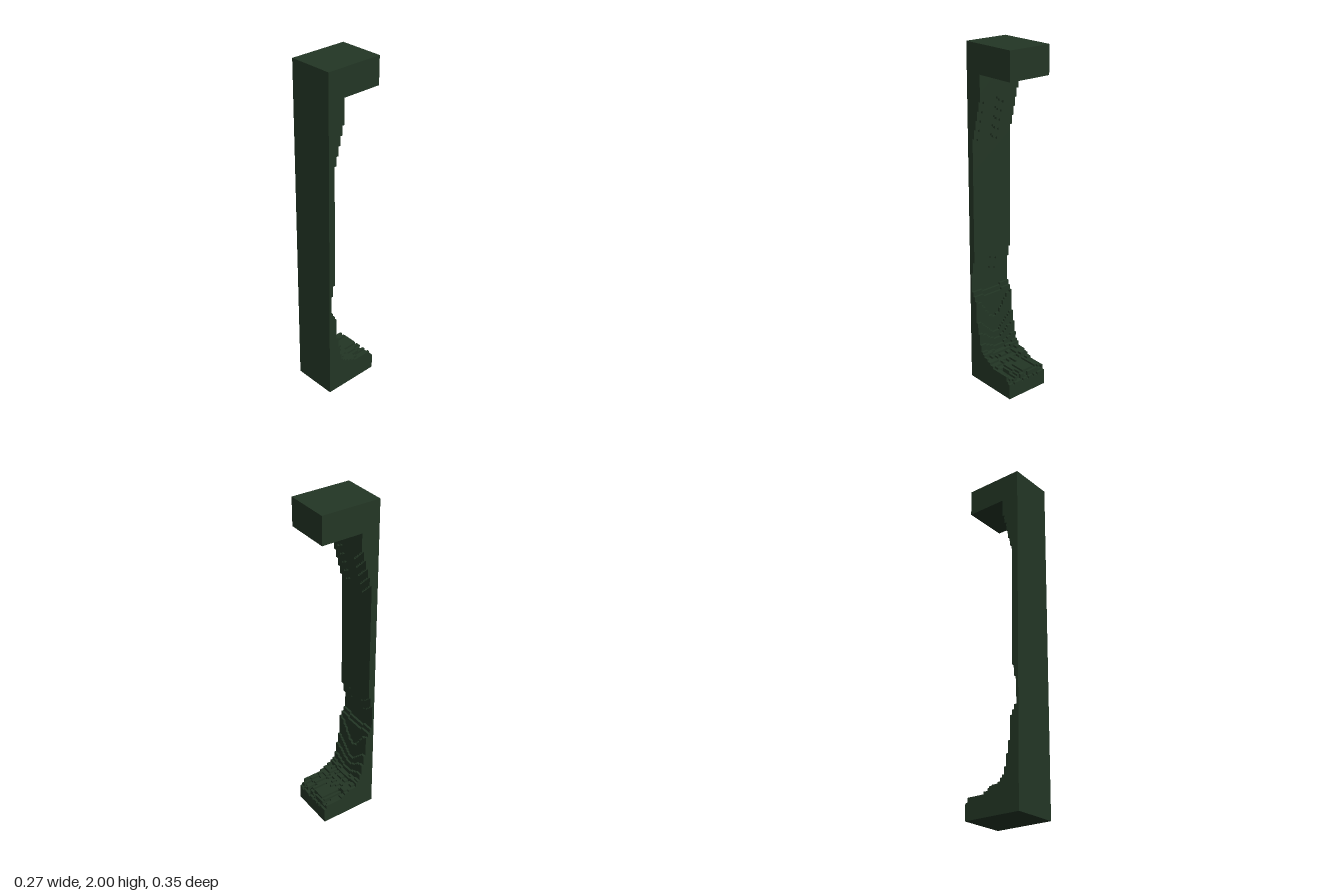
import * as THREE from 'three';

const V = 2 / 150;            // size of one voxel
const NX = 20, NZ = 26, NY = 150, BLOCK = 138;

// small repeatable noise, 0..1
const noise = (a, b) => {
  const s = Math.sin(a * 12.9898 + b * 78.233) * 43758.5453;
  return s - Math.floor(s);
};

// foot: [thickness, height it reaches, dip across the width, roughness]
const FOOT = [
  [26, 7, 0, 1.4], [25, 9, 0, 3], [24, 10, 0, 3], [21, 10, 0, 2.4], [17, 11, 0, 2.4],
  [15, 12, 1, 2], [13, 12, 1, 1], [11, 13, 1, 1.5], [9, 14, 1, 1], [8, 15, 2, 1],
  [7, 18, 3, 1], [6, 23, 5, 1], [5, 28, 7, 1], [4, 38, 10, 1], [3, 40, 1, 1], [2, 42, 1, 1],
];
// stem and shoulder: [thickness, height it begins at]
const SHOULDER = [[2, 50], [3, 55], [4, 109], [5, 113], [6, 117], [7, 121], [8, 125]];
// rise of the shoulder contours, from the -x edge to the +x edge
const WAVE = [5, 4, 3, 2, 1, 0, 0, 0, 1, 1, 2, 3, 3, 3, 2, 2, 1, 1, 2, 2];

// thickness of the body, in voxels, at column i and row j
function thickness(i, j) {
  let t = 1;
  const valley = Math.sin(Math.PI * (i + 0.5) / NX) ** 2;
  for (const [d, top, dip, rough] of FOOT) {
    if (j < Math.round(top - dip * valley - Math.floor(rough * noise(i, d)))) t = Math.max(t, d);
  }
  for (const [d, start] of SHOULDER) {
    const rise = Math.round(WAVE[i] * (d < 4 ? 0.7 : 1));
    if (j >= start + rise) t = Math.max(t, d);
  }
  return t;
}

// stepped body: one face per voxel at the back, walls wherever the thickness changes
function bodyGeometry() {
  const pos = [];
  const point = (x, y, z) => [(x - NX / 2) * V, y * V, (NZ / 2 - z) * V];
  const quad = (a, b, c, d) => [a, b, c, a, c, d].forEach((p) => pos.push(...point(...p)));
  const at = (i, j) => (i < 0 || i >= NX || j < 0 ? 0 : thickness(i, j));

  quad([0, 0, 0], [NX, 0, 0], [NX, BLOCK, 0], [0, BLOCK, 0]); // front
  for (let j = 0; j < BLOCK; j++) {
    for (let i = 0; i < NX; i++) {
      const t = at(i, j);
      quad([i + 1, j, t], [i, j, t], [i, j + 1, t], [i + 1, j + 1, t]); // back
      const l = at(i - 1, j), r = at(i + 1, j), b = at(i, j - 1);
      const u = j === BLOCK - 1 ? t : at(i, j + 1);
      if (t > l) quad([i, j, t], [i, j, l], [i, j + 1, l], [i, j + 1, t]);
      if (t > r) quad([i + 1, j, r], [i + 1, j, t], [i + 1, j + 1, t], [i + 1, j + 1, r]);
      if (t > b) quad([i, j, t], [i + 1, j, t], [i + 1, j, b], [i, j, b]);
      if (t > u) quad([i, j + 1, u], [i + 1, j + 1, u], [i + 1, j + 1, t], [i, j + 1, t]);
    }
  }
  const g = new THREE.BufferGeometry();
  g.setAttribute('position', new THREE.Float32BufferAttribute(pos, 3));
  g.computeVertexNormals();
  return g;
}

export function createModel() {
  const group = new THREE.Group();
  group.name = 'steppedPillar';
  const green = new THREE.MeshStandardMaterial({ color: 0x233625 });
  green.name = 'dark green';

  // stem with its worn foot and shoulder
  const body = new THREE.Mesh(bodyGeometry(), green);
  body.name = 'stemAndFoot';
  group.add(body);

  // overhanging block at the top
  const h = (NY - BLOCK) * V;
  const block = new THREE.Mesh(new THREE.BoxGeometry(NX * V, h, NZ * V), green);
  block.name = 'topBlock';
  block.position.y = BLOCK * V + h / 2;
  group.add(block);

  return group;
}
